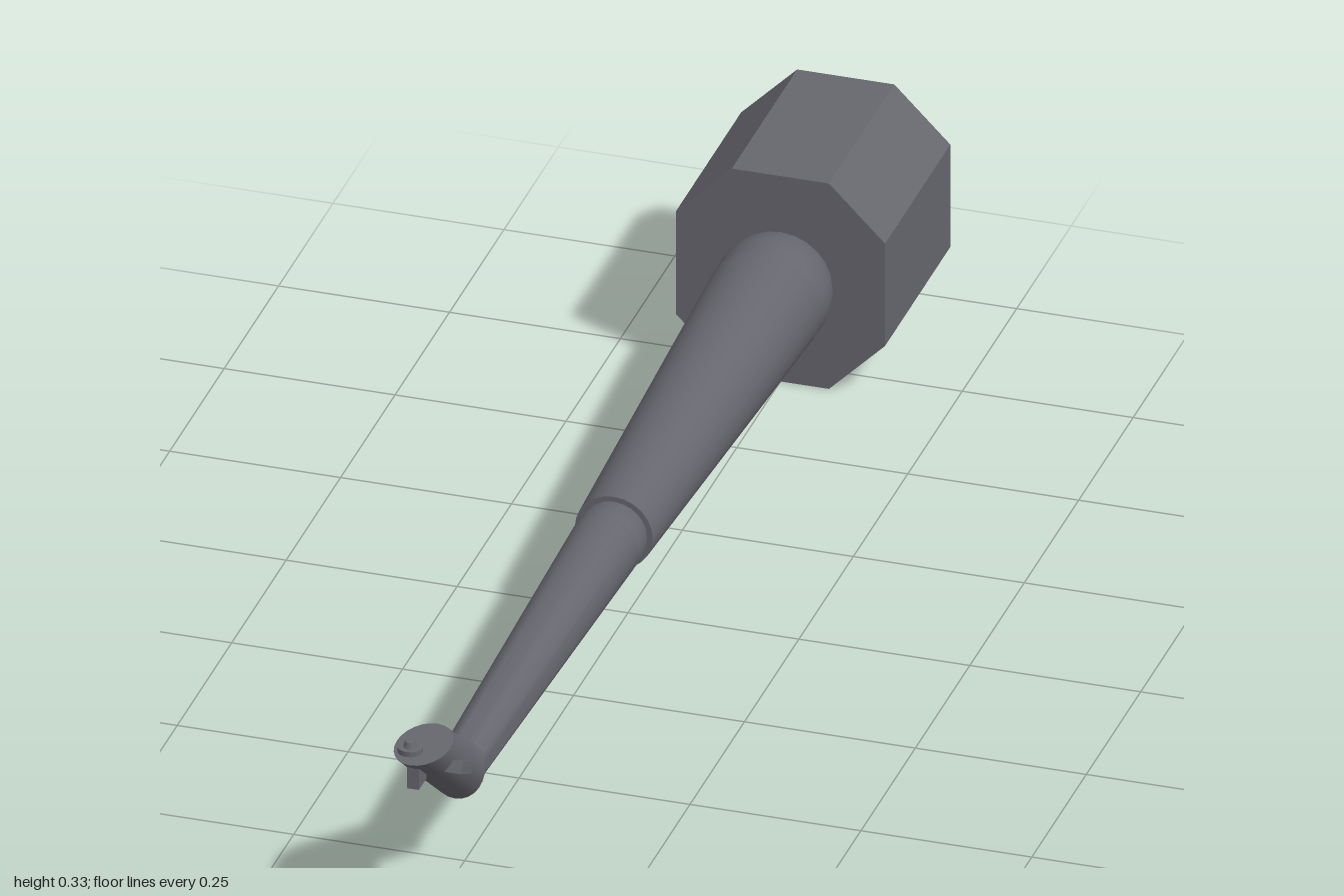
import * as THREE from 'three';
import { toCreasedNormals } from 'three/addons/utils/BufferGeometryUtils.js';

const AXIS_Y = 0.162;   // height of the long axis
const SIDES = 24;

export function createModel() {
  const model = new THREE.Group();
  const metal = new THREE.MeshStandardMaterial({ color: 0x66666e });
  metal.name = 'darkGreyMetal';

  const add = (name, geometry, x = 0, y = 0, z = 0, rx = 0) => {
    const mesh = new THREE.Mesh(geometry, metal);
    mesh.name = name;
    mesh.position.set(x, y, z);
    mesh.rotation.x = rx;
    model.add(mesh);
    return mesh;
  };

  // Octagonal base block
  const octagon = new THREE.Shape([
    [0.071, 0], [0.153, 0.082], [0.153, 0.245], [0.071, 0.327],
    [-0.071, 0.327], [-0.153, 0.245], [-0.153, 0.082], [-0.071, 0],
  ].map(([x, y]) => new THREE.Vector2(x, y)));
  add('baseBlock', new THREE.ExtrudeGeometry(octagon, { depth: 0.3, bevelEnabled: false }), 0, 0, -1);

  // Turned sections along z, each profile point is [radius, z]
  const turned = (name, points) => {
    const lathe = new THREE.LatheGeometry(points.map(([r, z]) => new THREE.Vector2(r, z)), SIDES);
    add(name, toCreasedNormals(lathe, 0.6), 0, AXIS_Y, 0, Math.PI / 2);
  };
  turned('baseCollar', [[0.074, -0.705], [0.08, -0.69], [0.084, -0.67], [0.084, -0.65], [0.081, -0.63], [0.078, -0.615]]);
  turned('rearTube', [[0, -0.625], [0.084, -0.625], [0.057, 0.065], [0, 0.065]]);
  turned('middleCollar', [[0.048, 0.06], [0.051, 0.075], [0.052, 0.09], [0.051, 0.105], [0.047, 0.115]]);
  turned('frontTube', [[0, 0.11], [0.051, 0.11], [0.034, 0.775], [0, 0.775]]);

  // Mitred elbow rising to a tip that is cut off level
  const bend = THREE.MathUtils.degToRad(38);
  const topY = 0.284, r = 0.039;
  const positions = [], index = [];
  for (let ring = 0; ring < 3; ring++) {
    for (let j = 0; j < SIDES; j++) {
      const a = (j / SIDES) * Math.PI * 2;
      const radius = ring === 0 ? 0.034 : r;
      const x = radius * Math.cos(a);
      let y = AXIS_Y + radius * Math.sin(a);
      let z = 0.755;
      if (ring > 0) z = 0.782 - radius * Math.sin(a) * Math.tan(bend / 2);
      if (ring === 2) {
        z += (topY - y) / Math.tan(bend);
        y = topY;
      }
      positions.push(x, y, z);
      const k = (j + 1) % SIDES, p = ring * SIDES;
      if (ring < 2) index.push(p + j, p + k, p + SIDES + j, p + k, p + SIDES + k, p + SIDES + j);
      else index.push(p + j, p + k, 3 * SIDES);
    }
  }
  positions.push(0, topY, 0.938);
  const elbow = new THREE.BufferGeometry();
  elbow.setAttribute('position', new THREE.Float32BufferAttribute(positions, 3));
  elbow.setIndex(index);
  add('elbowTip', toCreasedNormals(elbow, 0.5));

  // Small button on the level face
  add('buttonBase', new THREE.CylinderGeometry(0.018, 0.018, 0.009, 16), -0.012, 0.2875, 0.962);
  add('buttonKnob', new THREE.CylinderGeometry(0.007, 0.01, 0.009, 12), -0.012, 0.296, 0.962);

  // Post hanging beneath the tip
  add('tipPost', new THREE.BoxGeometry(0.017, 0.04, 0.035), -0.002, 0.255, 0.963);

  // Slanted lug on the left side of the tip
  add('sideLug', new THREE.BoxGeometry(0.03, 0.018, 0.055), 0.037, 0.236, 0.9, -bend * 0.7);

  return model;
}
